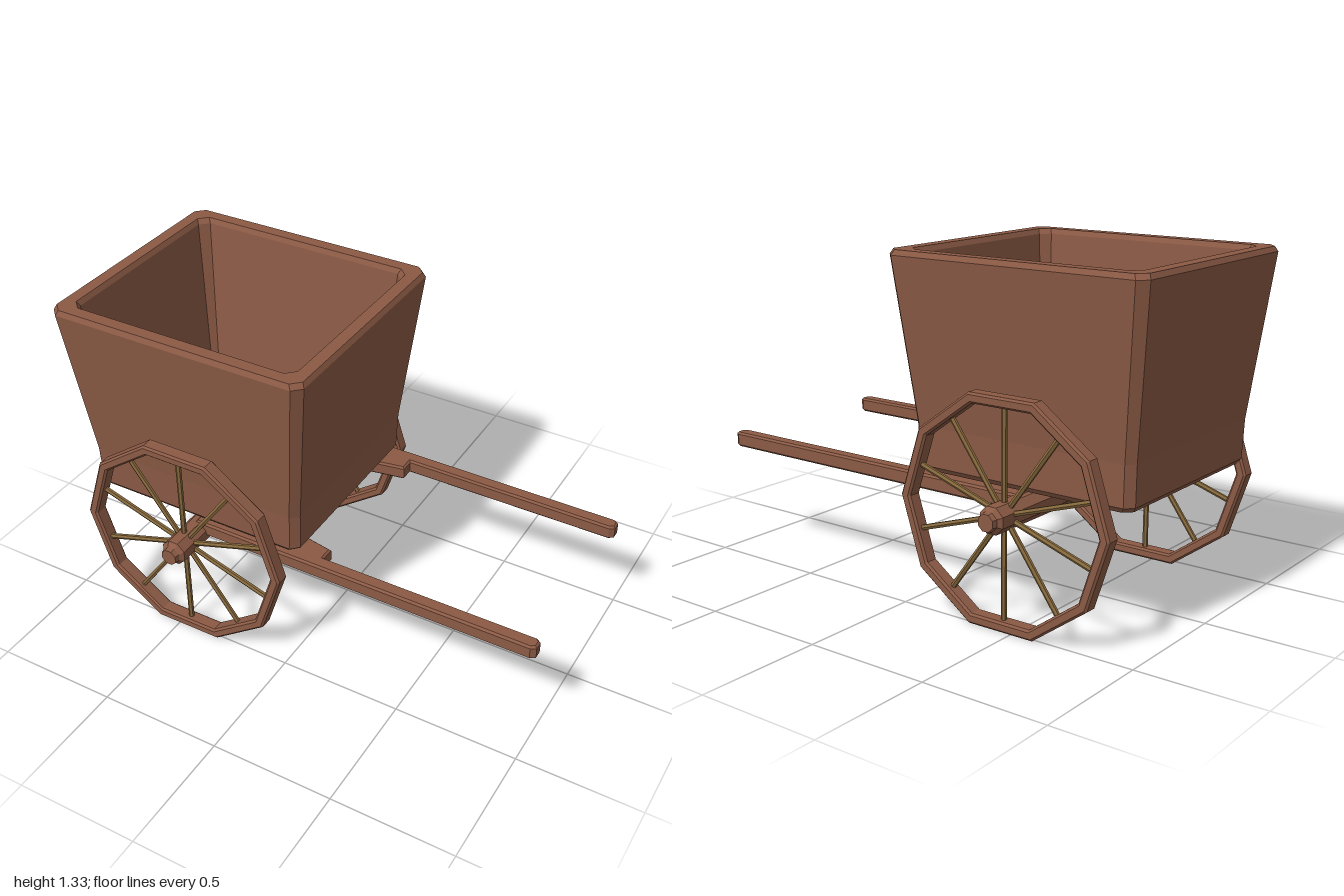
import * as THREE from 'three';

const wood = new THREE.MeshStandardMaterial({ color: 0x8b5a45, flatShading: true });
const paleWood = new THREE.MeshStandardMaterial({ color: 0x86683c, flatShading: true });
const AXLE_X = -0.455, AXLE_Y = 0.434;

function part(name, geometry, material = wood) {
  const mesh = new THREE.Mesh(geometry, material);
  mesh.name = name;
  return mesh;
}

// Loft through rectangles with clipped corners; each ring is [y, halfX, halfZ, clip]
function loftBox(rings) {
  const pos = [], index = [], n = 8;
  for (const [y, a, b, c] of rings) {
    const loop = [[a, b - c], [a - c, b], [c - a, b], [-a, b - c],
      [-a, c - b], [c - a, -b], [a - c, -b], [a, c - b]];
    for (const [x, z] of loop) pos.push(x, y, z);
  }
  for (let r = 0; r < rings.length - 1; r++) {
    for (let i = 0; i < n; i++) {
      const a = r * n + i, b = r * n + (i + 1) % n;
      index.push(a, a + n, b, b, a + n, b + n);
    }
  }
  // Underside and inner floor
  const last = (rings.length - 1) * n;
  for (let i = 1; i < n - 1; i++) {
    index.push(0, i, i + 1, last, last + i + 1, last + i);
  }
  const g = new THREE.BufferGeometry();
  g.setAttribute('position', new THREE.Float32BufferAttribute(pos, 3));
  g.setIndex(index);
  const flat = g.toNonIndexed();
  flat.computeVertexNormals();
  return flat;
}

function createTub() {
  const tub = part('tub', loftBox([
    [0.505, 0.455, 0.4, 0.03],
    [0.525, 0.47, 0.415, 0.03],
    [0.68, 0.475, 0.42, 0.03],
    [1.31, 0.545, 0.49, 0.035],
    [1.33, 0.535, 0.48, 0.035],
    [1.33, 0.485, 0.43, 0.035],
    [1.31, 0.475, 0.42, 0.035],
    [0.6, 0.415, 0.355, 0.02],
  ]));
  tub.position.x = AXLE_X;
  // Lofted faces must look outward
  return tub;
}

function polygonPath(Type, radius, sides) {
  const pts = [];
  for (let i = 0; i < sides; i++) {
    const a = (i / sides) * Math.PI * 2;
    pts.push(new THREE.Vector2(Math.cos(a) * radius, Math.sin(a) * radius));
  }
  return new Type(pts);
}

function createWheel(name) {
  const wheel = new THREE.Group();
  wheel.name = name;
  // Ten-sided rim
  const shape = polygonPath(THREE.Shape, 0.453, 10);
  shape.holes.push(polygonPath(THREE.Path, 0.411, 10));
  const rim = new THREE.ExtrudeGeometry(shape, {
    depth: 0.046, bevelEnabled: true, bevelThickness: 0.008,
    bevelSize: 0.008, bevelOffset: -0.008, bevelSegments: 1,
  });
  rim.translate(0, 0, -0.023);
  wheel.add(part('rim', rim));
  // Spokes meet the middle of each rim side
  for (let i = 0; i < 10; i++) {
    const g = new THREE.CylinderGeometry(0.011, 0.011, 0.38, 6);
    g.translate(0, 0.215, 0);
    const spoke = part('spoke', g, paleWood);
    spoke.rotation.z = (i / 10) * Math.PI * 2;
    wheel.add(spoke);
  }
  return wheel;
}

// Axle with tapered hub ends
function createAxle() {
  const profile = [[0, -0.6], [0.034, -0.6], [0.038, -0.58], [0.054, -0.565],
    [0.054, 0.565], [0.038, 0.58], [0.034, 0.6], [0, 0.6]];
  const g = new THREE.LatheGeometry(profile.map(p => new THREE.Vector2(...p)), 8, Math.PI / 8);
  g.rotateX(Math.PI / 2);
  const axle = part('axle', g);
  axle.position.set(AXLE_X, AXLE_Y, 0);
  return axle;
}

// Shaft that widens inward beneath the tub
function createShaft(name, side) {
  const outline = [[-0.455, 0.415], [0.98, 0.415], [1, 0.402], [1, 0.368], [0.98, 0.355],
    [0.1, 0.355], [0.1, 0.3], [-0.455, 0.2]];
  const shape = new THREE.Shape(outline.map(([x, z]) => new THREE.Vector2(x, z * side)));
  const g = new THREE.ExtrudeGeometry(shape, {
    depth: 0.044, bevelEnabled: true, bevelThickness: 0.008,
    bevelSize: 0.008, bevelOffset: -0.008, bevelSegments: 1,
  });
  g.rotateX(Math.PI / 2);
  const shaft = part(name, g);
  shaft.position.y = 0.482;
  return shaft;
}

export function createModel() {
  const cart = new THREE.Group();
  cart.name = 'handcart';
  cart.add(createTub(), createAxle());
  for (const [label, side] of [['front', 1], ['back', -1]]) {
    const wheel = createWheel(label + 'Wheel');
    wheel.position.set(AXLE_X, AXLE_Y, side * 0.49);
    cart.add(wheel, createShaft(label + 'Shaft', side));
  }
  return cart;
}
